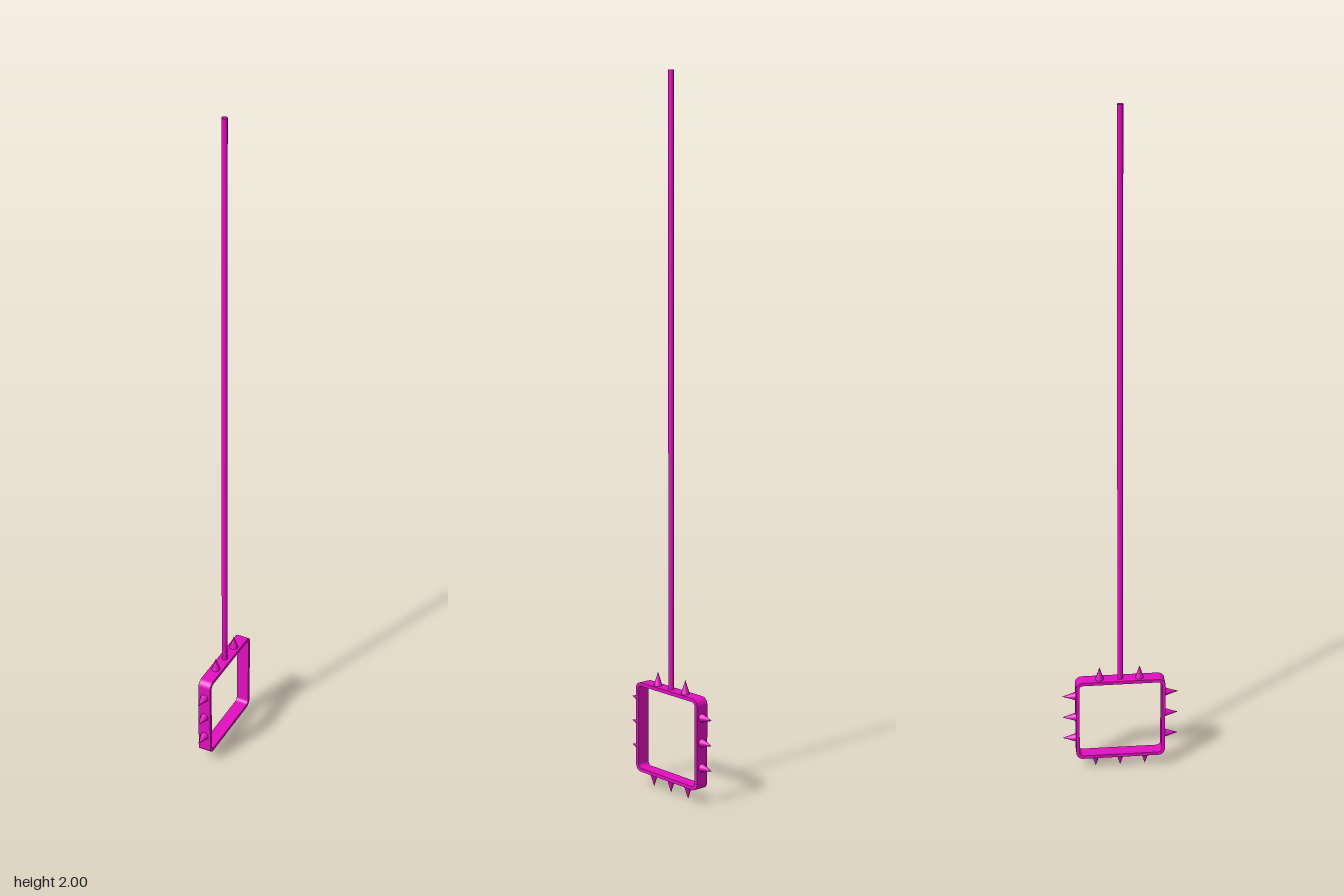
import * as THREE from 'three';

const mat = new THREE.MeshStandardMaterial({ color: 0xe30fc0 });
const tubeMat = new THREE.MeshStandardMaterial({ color: 0xe30fc0, side: THREE.DoubleSide });

const HALF = 0.13;    // half size of the square frame
const MID_Y = 0.17;   // height of the frame centre
const WIDTH = 0.038;  // frame depth along x
const THICK = 0.01;   // frame wall
const SPIKE = 0.04;

// Rounded square outline
function roundedSquare(path, h, r) {
  path.moveTo(h, -h + r);
  path.lineTo(h, h - r);
  path.absarc(h - r, h - r, r, 0, Math.PI / 2);
  path.absarc(-h + r, h - r, r, Math.PI / 2, Math.PI);
  path.absarc(-h + r, -h + r, r, Math.PI, Math.PI * 1.5);
  path.absarc(h - r, -h + r, r, Math.PI * 1.5, Math.PI * 2);
  return path;
}

export function createModel() {
  const group = new THREE.Group();
  const add = (name, geometry, material = mat) => {
    const mesh = new THREE.Mesh(geometry, material);
    mesh.name = name;
    group.add(mesh);
    return mesh;
  };

  // Square frame, lying in the yz plane
  const shape = roundedSquare(new THREE.Shape(), HALF, 0.02);
  shape.holes.push(roundedSquare(new THREE.Path(), HALF - THICK, 0.012));
  const frame = new THREE.ExtrudeGeometry(shape, { depth: WIDTH, bevelEnabled: false, curveSegments: 8 });
  frame.translate(0, 0, -WIDTH / 2).rotateY(Math.PI / 2).translate(0, MID_Y, 0);
  add('frame', frame);

  // Long open tube for the handle
  const bottom = HALF + MID_Y - 0.003;
  const rod = new THREE.CylinderGeometry(0.008, 0.008, 2 - bottom, 12, 1, true);
  add('handle', rod, tubeMat).position.y = (2 + bottom) / 2;

  // Cone spikes; the angle turns them about x from straight up
  const spike = new THREE.ConeGeometry(0.0125, SPIKE, 16);
  spike.translate(0, SPIKE / 2 - 0.001, 0);
  const addSpike = (name, y, z, angle) => {
    const mesh = add(name, spike);
    mesh.position.set(0, y, z);
    mesh.rotation.x = angle;
  };
  for (const z of [-0.06, 0.056]) addSpike('topSpike', MID_Y + HALF, z, 0);
  for (const z of [-0.072, 0, 0.073]) addSpike('bottomSpike', MID_Y - HALF + 0.001, z, Math.PI);
  for (const y of [0.104, 0.175, 0.246]) {
    addSpike('frontSpike', y, HALF, Math.PI / 2);
    addSpike('backSpike', y, -HALF, -Math.PI / 2);
  }

  return group;
}
